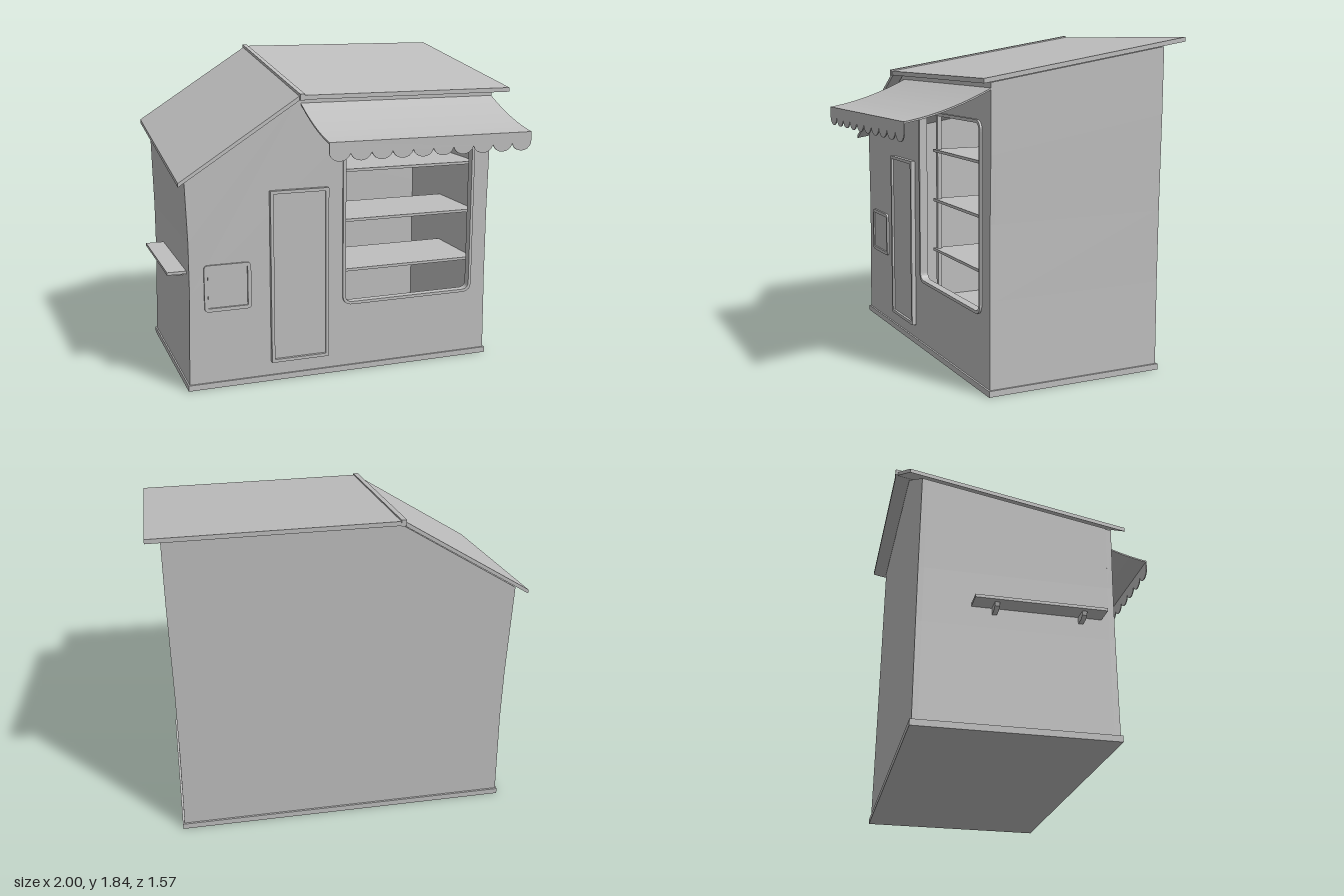
import * as THREE from 'three';

const SLOPE = 0.168; // roof rise towards the back
const FRONT = 0.325, BACK = -0.7;

function polygon(points) {
  return new THREE.Shape(points.map(([x, y]) => new THREE.Vector2(x, y)));
}

function roundedRect(x0, y0, x1, y1, r, Type = THREE.Shape) {
  const s = new Type();
  s.moveTo(x0 + r, y0);
  s.lineTo(x1 - r, y0);
  s.quadraticCurveTo(x1, y0, x1, y0 + r);
  s.lineTo(x1, y1 - r);
  s.quadraticCurveTo(x1, y1, x1 - r, y1);
  s.lineTo(x0 + r, y1);
  s.quadraticCurveTo(x0, y1, x0, y1 - r);
  s.lineTo(x0, y0 + r);
  s.quadraticCurveTo(x0, y0, x0 + r, y0);
  return s;
}

// Extrude a front-facing shape between two z values
function slab(shape, zBack, zFront) {
  return new THREE.ExtrudeGeometry(shape, { depth: zFront - zBack, bevelEnabled: false, curveSegments: 8 })
    .translate(0, 0, zBack);
}

// Lift everything above minY along the roof slope
function shear(geometry, minY = 1) {
  const p = geometry.attributes.position;
  for (let i = 0; i < p.count; i++) {
    if (p.getY(i) > minY) p.setY(i, p.getY(i) + (FRONT - p.getZ(i)) * SLOPE);
  }
  geometry.computeVertexNormals();
  return geometry;
}

export function createModel() {
  const group = new THREE.Group();
  const grey = new THREE.MeshStandardMaterial({ color: 0xbfbfbf, side: THREE.DoubleSide });
  grey.name = 'plain grey';

  const add = (name, geometry) => {
    const mesh = new THREE.Mesh(geometry, grey);
    mesh.name = name;
    group.add(mesh);
    return mesh;
  };
  const box = (name, x0, x1, y0, y1, z0, z1) => add(name,
    new THREE.BoxGeometry(x1 - x0, y1 - y0, z1 - z0)
      .translate((x0 + x1) / 2, (y0 + y1) / 2, (z0 + z1) / 2));
  const frame = (name, [x0, y0, x1, y1], width, r, z0, z1) => {
    const s = roundedRect(x0, y0, x1, y1, r);
    s.holes.push(roundedRect(x0 + width, y0 + width, x1 - width, y1 - width, Math.max(r - width, 0.002), THREE.Path));
    add(name, slab(s, z0, z1));
  };

  // Plinth
  box('base', -0.915, 0.935, 0, 0.033, -0.71, 0.335);

  // Hollow body with gently waisted sides
  const outline = [[-0.907, 0.03], [0.925, 0.03], [0.919, 0.5], [0.919, 0.9], [0.925, 1.25], [0.925, 1.612],
    [-0.265, 1.612], [-0.905, 1.2], [-0.893, 0.85], [-0.893, 0.55]];
  const inner = [[-0.87, 0.06], [0.89, 0.06], [0.89, 1.59], [-0.26, 1.59], [-0.87, 1.19]];
  const opening = [0, 0.405, 0.825, 1.42];

  const walls = polygon(outline);
  walls.holes.push(polygon(inner));
  add('sideWalls', shear(slab(walls, BACK + 0.03, FRONT - 0.03)));
  add('backWall', shear(slab(polygon(outline), BACK, BACK + 0.03)));
  const facade = polygon(outline);
  facade.holes.push(roundedRect(...opening, 0.06, THREE.Path));
  add('frontWall', shear(slab(facade, FRONT - 0.03, FRONT), 1.15 + 0.3));

  // Display window with shelves behind it
  frame('windowFrame', opening, 0.017, 0.06, FRONT - 0.035, FRONT + 0.012);
  for (const y of [0.57, 0.87, 1.165]) box('shelf', -0.06, 0.89, y, y + 0.016, -0.25, 0.22);
  for (const z of [-0.22, 0.18]) box('shelfPost', -0.05, -0.025, 0.06, 1.5, z, z + 0.025);

  // Door
  frame('doorFrame', [-0.433, 0.112, -0.09, 1.11], 0.018, 0.004, FRONT - 0.002, 0.35);
  box('doorPanel', -0.414, -0.109, 0.132, 1.09, FRONT, 0.338);

  // Small hatch
  frame('hatchFrame', [-0.812, 0.45, -0.545, 0.717], 0.02, 0.025, FRONT - 0.002, 0.337);
  box('hatchPanel', -0.79, -0.567, 0.472, 0.697, FRONT - 0.002, 0.33);

  // Side counter and its brackets
  box('sideCounter', -1, -0.885, 0.66, 0.676, -0.425, 0.255);
  for (const z of [-0.32, 0.13]) {
    add('counterBracket', slab(polygon([[-0.885, 0.662], [-0.972, 0.662], [-0.965, 0.64], [-0.94, 0.625], [-0.885, 0.625]]), z, z + 0.025));
  }

  // Roof: main pitch, side pitch and ridge cap
  add('mainRoof', shear(slab(polygon([[-0.265, 1.624], [1, 1.624], [1, 1.648], [-0.265, 1.648]]), -0.78, 0.4)));
  add('sideRoof', shear(slab(polygon([[-0.95, 1.184], [-0.26, 1.626], [-0.26, 1.65], [-0.95, 1.206]]), -0.77, 0.387)));
  add('ridgeCap', shear(slab(polygon([[-0.275, 1.622], [-0.248, 1.622], [-0.248, 1.656], [-0.275, 1.656]]), -0.784, 0.405)));

  // Awning: sagging sheet swept along x
  const a0 = -0.247, a1 = 0.925;
  const curve = new THREE.QuadraticBezierCurve(
    new THREE.Vector2(0.325, 1.585), new THREE.Vector2(0.56, 1.47), new THREE.Vector2(0.785, 1.435)).getPoints(12);
  const sheet = new THREE.Shape([...curve, ...curve.slice().reverse().map(p => new THREE.Vector2(p.x, p.y - 0.009))]);
  add('awning', new THREE.ExtrudeGeometry(sheet, { depth: a1 - a0, bevelEnabled: false })
    .rotateY(-Math.PI / 2).translate(a1, 0, 0));

  // Scalloped valance
  const count = 10, step = (a1 - a0) / count;
  const valance = new THREE.Shape();
  valance.moveTo(a0, 1.434);
  valance.lineTo(a0, 1.375);
  for (let i = 0; i < count; i++) {
    const x = a0 + i * step;
    valance.bezierCurveTo(x + 0.015, 1.32, x + step - 0.015, 1.32, x + step, 1.375);
  }
  valance.lineTo(a1, 1.434);
  add('awningValance', slab(valance, 0.78, 0.785));

  return group;
}
